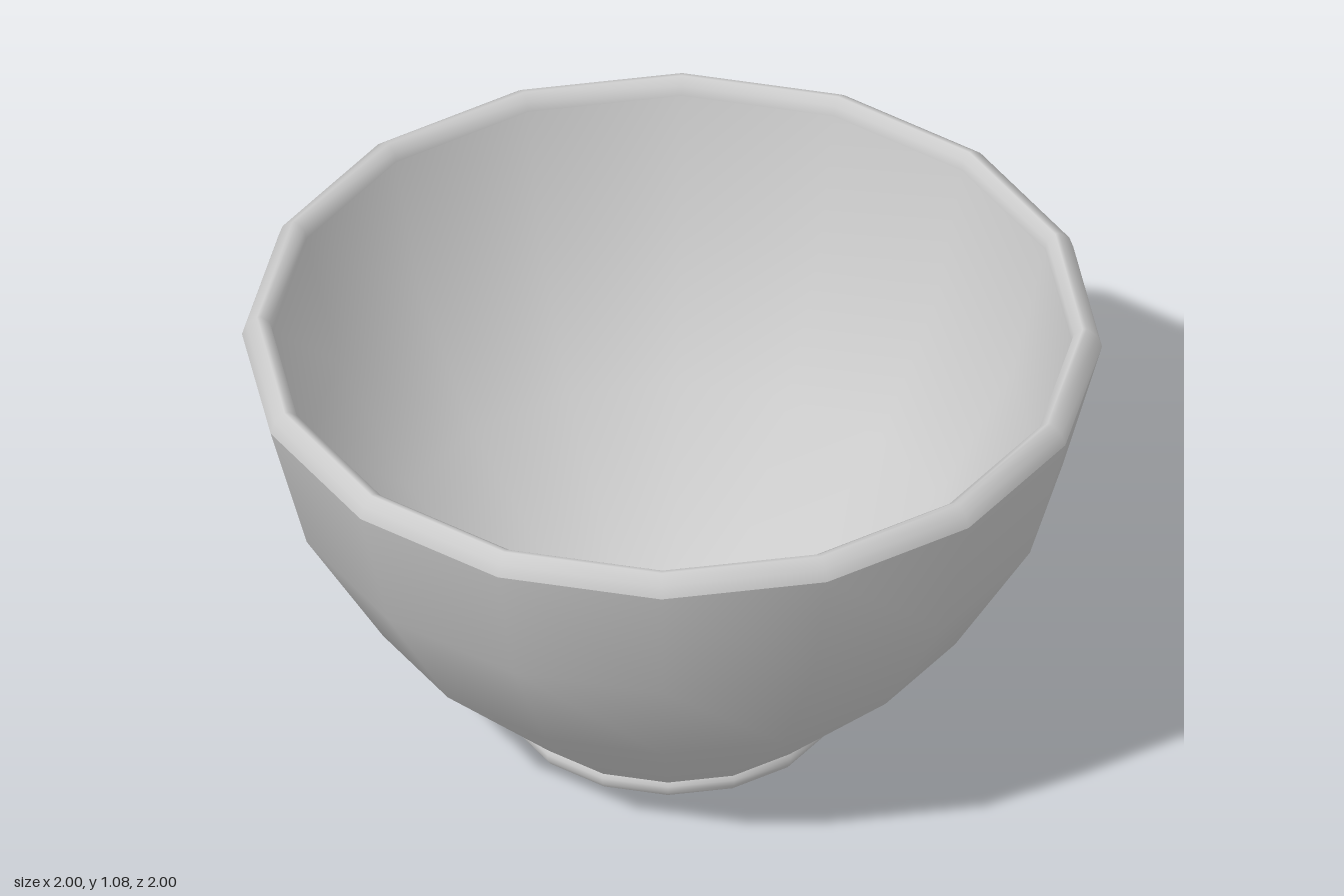
import * as THREE from 'three';

const SIDES = 16;

export function createModel() {
  const bowl = new THREE.Group();
  bowl.name = 'bowl';
  const material = new THREE.MeshStandardMaterial({ color: 0xcccccc });

  // Each part is a smooth 16-sided turning of its [radius, height] profile.
  const turn = (name, profile) => {
    const points = profile.map(([r, y]) => new THREE.Vector2(r, y));
    const mesh = new THREE.Mesh(new THREE.LatheGeometry(points, SIDES), material);
    mesh.name = name;
    bowl.add(mesh);
  };

  // Flat underside and the low foot ring
  turn('base', [[0, 0], [0.39, 0]]);
  turn('foot', [[0.39, 0], [0.4, 0.015], [0.4, 0.03], [0.395, 0.04]]);

  // Flaring outer wall
  turn('outerWall', [[0.395, 0.04], [0.72, 0.365], [0.91, 0.69], [1, 1.03]]);

  // Rounded lip, from the outer wall over to the inside
  turn('rim', [[1, 1.03], [0.99, 1.06], [0.965, 1.08], [0.955, 1.08], [0.935, 1.065], [0.93, 1.04]]);

  // Hollow inside, running down to the floor
  turn('innerWall', [[0.93, 1.04], [0.85, 0.71], [0.67, 0.4], [0.36, 0.09], [0, 0.08]]);

  return bowl;
}
